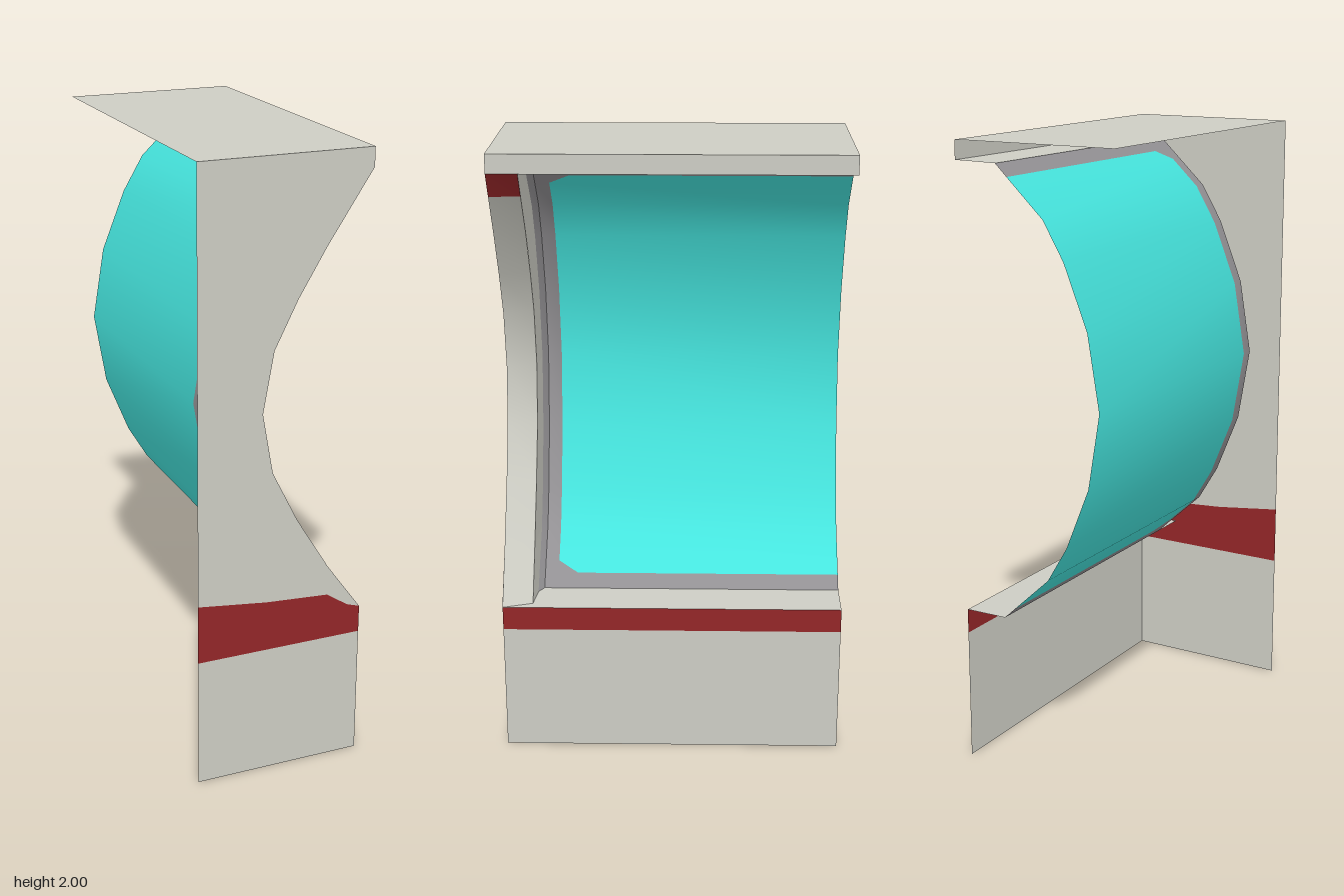
import * as THREE from 'three';

const X0 = -0.28, X1 = 0.275, Z = 0.555, MID = 1.225;

// Hollow edge of the front wall, as [x, y] from bottom to top
const EDGE = [[X1, 0.51], [0.16, 0.68], [0.05, 0.86], [-0.035, 1.03], [-0.07, MID],
  [-0.035, 1.42], [0.04, 1.57], [0.13, 1.72], [X1, 1.94]];

// Rounder profile of the recessed pane, mirrored about its middle height
const LOWER = [[0.13, 0.512], [0.09, 0.55], [-0.035, 0.667], [-0.105, 0.785], [-0.185, 0.985]];
const PANE = [...LOWER, [-0.225, MID], ...LOWER.map(([x, y]) => [x, 2 * MID - y]).reverse()];

// x of a profile at height y
function xAt(profile, y) {
  for (let i = 1; i < profile.length; i++) {
    const [xa, ya] = profile[i - 1], [xb, yb] = profile[i];
    if (y <= yb) return xa + (xb - xa) * Math.max(0, y - ya) / (yb - ya);
  }
  return profile[profile.length - 1][0];
}

// Profile heights between two limits
function heights(profile, lo, hi, extra = []) {
  const inner = profile.map(p => p[1]).concat(extra);
  return [lo, ...inner.filter(y => y > lo + 0.001 && y < hi - 0.001), hi].sort((a, b) => a - b);
}

// Smooth surface through equally long rows of points
function loft(rows) {
  const n = rows[0].length, index = [];
  for (let r = 0; r < rows.length - 1; r++) {
    for (let i = 0; i < n - 1; i++) {
      const a = r * n + i, b = a + 1, c = a + n, d = c + 1;
      index.push(a, c, b, b, c, d);
    }
  }
  const g = new THREE.BufferGeometry();
  g.setAttribute('position', new THREE.Float32BufferAttribute(rows.flat(2), 3));
  g.setIndex(index);
  g.computeVertexNormals();
  return g;
}

export function createModel() {
  const group = new THREE.Group();
  const material = (name, color) => {
    const m = new THREE.MeshStandardMaterial({ color, side: THREE.DoubleSide });
    m.name = name;
    return m;
  };
  const wall = material('warm grey', 0xcdcdc4);
  const red = material('dark red', 0x932628);
  const glass = material('turquoise glass', 0x46e5de);
  const rubber = material('grey seal', 0x939194);

  const add = (name, geometry, mat) => {
    const mesh = new THREE.Mesh(geometry, mat);
    mesh.name = name;
    group.add(mesh);
  };

  // Flat panel in the front plane
  const frontPanel = (name, points, mat) => {
    const shape = new THREE.Shape(points.map(p => new THREE.Vector2(...p)));
    add(name, new THREE.ShapeGeometry(shape).translate(0, 0, Z), mat);
  };
  const stripeTop = [[X0, 0.625], [-0.05, 0.597], [0.16, 0.583], [0.23, 0.535], [X1, 0.52]];
  frontPanel('frontLowerWall', [[X0, 0], [X1, 0], [X1, 0.43], [X0, 0.43]], wall);
  frontPanel('frontStripe', [[X0, 0.43], [X1, 0.43], ...[...stripeTop].reverse()], red);
  frontPanel('frontUpperWall', [...stripeTop, ...EDGE.slice(1), [X1, 2], [X0, 2]], wall);

  // Strip running along z between two [x, y] points
  const strip = (name, a, b, mat) =>
    add(name, loft([a, b].map(([x, y]) => [[x, y, Z], [x, y, -Z]])), mat);
  const [paneX, paneY] = PANE[0];
  strip('sideLowerWall', [X1, 0], [X1, 0.43], wall);
  strip('sideStripe', [X1, 0.43], [X1, 0.51], red);
  strip('roofLip', [X1, 1.94], [X1, 2], wall);
  strip('roof', [X1, 2], [X0, 2], wall);
  strip('windowSill', [X1, 0.51], [paneX, paneY], wall);
  strip('windowHead', [X1, 1.94], [paneX, 2 * MID - paneY], wall);

  // Gentle bevel behind the front edge, fading out at the top
  const bevelX = y => xAt(EDGE, y) - 0.03 * Math.min(1, (1.94 - y) / 0.25);
  const bevel = y => [[xAt(EDGE, y), y, Z], [bevelX(y), y, 0.458]];
  add('windowBevel', loft(heights(EDGE, 0.51, 1.86).map(bevel)), wall);
  add('bevelStripe', loft(heights(EDGE, 1.86, 1.94).map(bevel)), red);

  // Jamb stepping back to the rim of the seal
  const onPane = (y, z, lift = 0) => [xAt(PANE, y) + lift, y, z];
  const jamb = y => [[bevelX(y), y, 0.458], onPane(y, 0.448, 0.03)];
  const rim = y => [onPane(y, 0.448, 0.03), onPane(y, 0.43)];
  add('windowJamb', loft(heights([...EDGE, ...PANE], 0.51, 1.94).map(jamb)), wall);
  add('sealRim', loft(heights(PANE, 0.512, 1.938).map(rim)), rubber);

  // Curved pane with clipped corners, framed by its seal
  const paneFront = y => 0.385 - 0.065 * Math.max(0, 1 - Math.min(y - 0.55, 1.9 - y) / 0.03);
  const paneRows = heights(PANE, 0.55, 1.9, [0.58, 1.87]);
  add('windowPane', loft(paneRows.map(y => [onPane(y, paneFront(y)), onPane(y, -Z)])), glass);
  add('frontSeal', loft(paneRows.map(y => [onPane(y, 0.43), onPane(y, paneFront(y))])), rubber);
  for (const [name, lo, hi] of [['lowerSeal', 0.512, 0.55], ['upperSeal', 1.9, 1.938]]) {
    add(name, loft([lo, hi].map(y => [onPane(y, 0.43), onPane(y, -Z)])), rubber);
  }
  return group;
}
